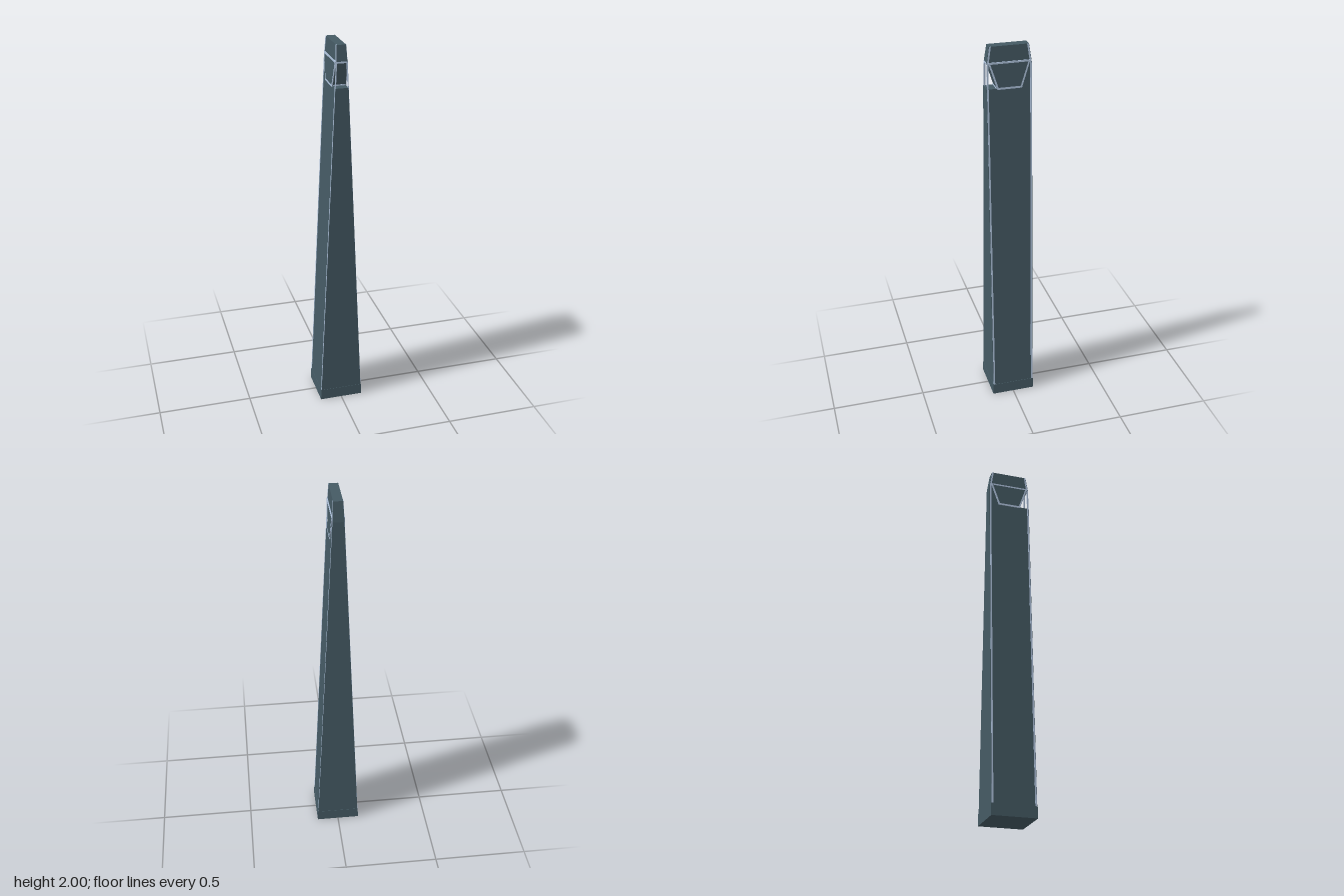
import * as THREE from 'three';

const slate = new THREE.MeshStandardMaterial({ color: 0x455a64 });
slate.name = 'slate facade';
const pale = new THREE.MeshStandardMaterial({ color: 0xb0c4de });
pale.name = 'pale steel trim';

// half width of the tower at height y
const halfWidth = (y) => 0.115 - 0.0457 * y;

// Extrudes a [z, y] outline across x, between lo(y) and hi(y)
function slab(name, material, outline, lo, hi, hole) {
  const toPoints = (list) => list.map(([z, y]) => new THREE.Vector2(-z, y));
  const shape = new THREE.Shape(toPoints(outline));
  if (hole) shape.holes.push(new THREE.Path(toPoints(hole)));
  const geo = new THREE.ExtrudeGeometry(shape, { depth: 1, bevelEnabled: false });
  const p = geo.attributes.position;
  for (let i = 0; i < p.count; i++) {
    const z = -p.getX(i), y = p.getY(i), t = p.getZ(i);
    p.setXYZ(i, THREE.MathUtils.lerp(lo(y), hi(y), t), y, z);
  }
  geo.computeVertexNormals();
  const mesh = new THREE.Mesh(geo, material);
  mesh.name = name;
  return mesh;
}

// Thin piece lying on one sloping side face
function sidePlate(name, side, outline, sink, rise, hole) {
  const inner = (y) => side * (halfWidth(y) - sink);
  const outer = (y) => side * (halfWidth(y) + rise);
  return side > 0
    ? slab(name, pale, outline, inner, outer, hole)
    : slab(name, pale, outline, outer, inner, hole);
}

export function createModel() {
  const group = new THREE.Group();
  group.name = 'taperedTower';

  // Tower shaft, with a wedge-shaped notch through the front near the top
  const shaft = [
    [-0.115, 0], [0.115, 0], [0.115, 1.79], [0.064, 1.79], [0.106, 1.915],
    [0.113, 1.915], [0.1, 2], [-0.1, 2], [-0.115, 1.9],
  ];
  group.add(slab('shaft', slate, shaft, (y) => -halfWidth(y), halfWidth));

  // Plinth around the foot
  const plinth = [[-0.1165, 0], [0.1165, 0], [0.1165, 0.06], [-0.1165, 0.06]];
  group.add(slab('plinth', slate, plinth, (y) => -halfWidth(y) - 0.002, (y) => halfWidth(y) + 0.002));

  const frame = [[-0.062, 1.785], [0.062, 1.785], [0.106, 1.922], [-0.106, 1.922]];
  const opening = [[-0.056, 1.795], [0.056, 1.795], [0.095, 1.913], [-0.095, 1.913]];
  for (const side of [-1, 1]) {
    // Corner strips running up the edges of the side faces
    for (const end of [-1, 1]) {
      const strip = [
        [0.105, 0.06], [0.1135, 0.06], [0.1135, 1.9], [0.0985, 2], [0.09, 2], [0.105, 1.9],
      ].map(([z, y]) => [z * end, y]);
      group.add(sidePlate('cornerStrip', side, strip, 0.003, 0.0012));
    }
    // Trapezoid frame around the upper window
    group.add(sidePlate('windowFrame', side, frame, 0.001, 0.004, opening));
  }

  // Crossbars at the foot and head of the notch
  const bars = [
    [[0.06, 1.787], [0.068, 1.787], [0.068, 1.796], [0.06, 1.796]],
    [[0.1, 1.913], [0.1135, 1.913], [0.1125, 1.921], [0.1, 1.921]],
  ];
  for (const bar of bars) {
    group.add(slab('notchBar', pale, bar, (y) => -halfWidth(y) + 0.001, (y) => halfWidth(y) - 0.001));
  }
  return group;
}
